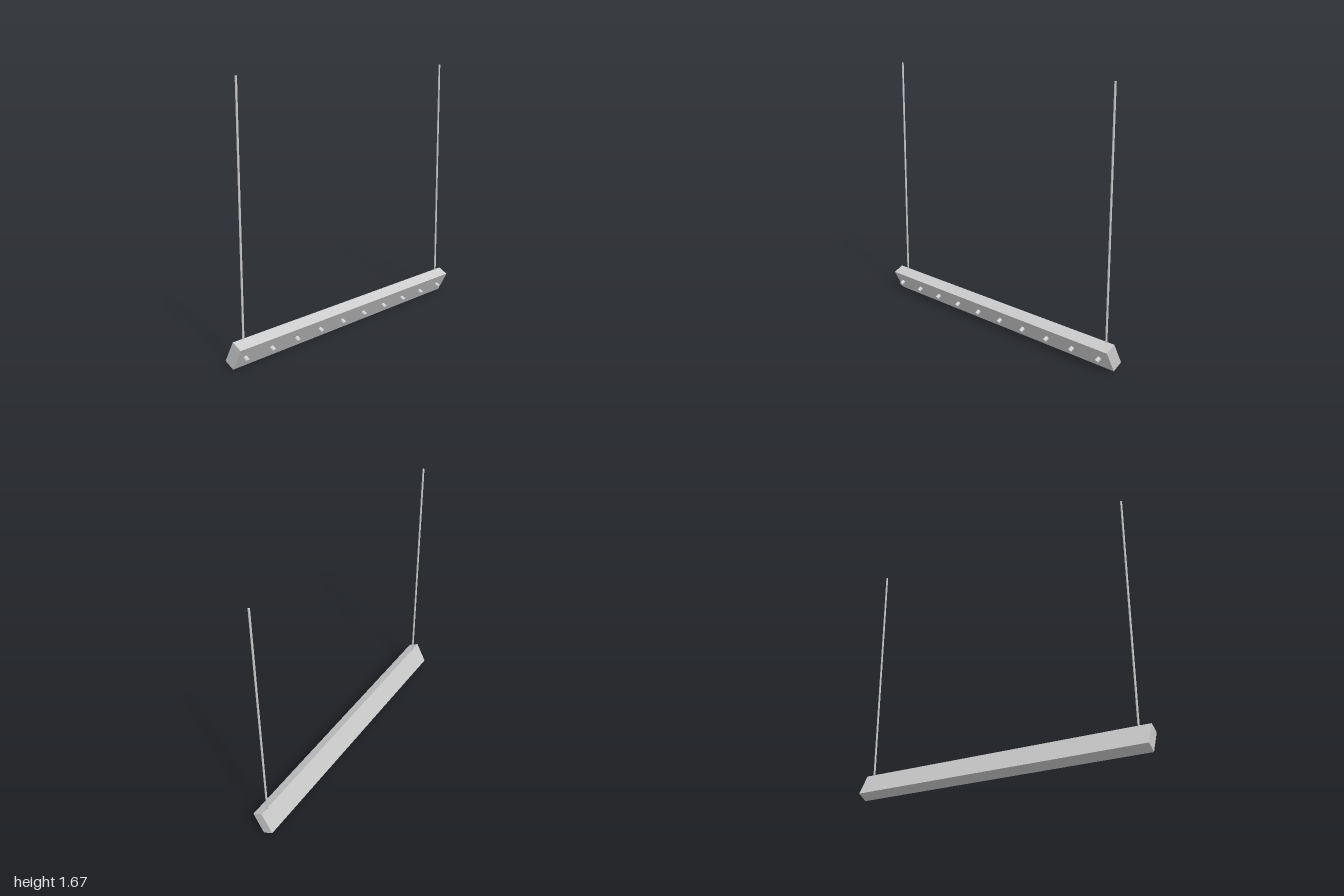
import * as THREE from 'three';

const material = new THREE.MeshStandardMaterial({ color: 0xcccccc });

function add(parent, name, geometry, x, y, z) {
  const mesh = new THREE.Mesh(geometry, material);
  mesh.name = name;
  mesh.position.set(x, y, z);
  parent.add(mesh);
  return mesh;
}

export function createModel() {
  const model = new THREE.Group();
  model.name = 'hangingBar';

  // Tilted bar, its nozzle face turned down towards +x
  const width = 0.075, height = 0.15;
  const bar = new THREE.Group();
  bar.name = 'tiltedBar';
  bar.position.set(-0.002, 0.084, 0);
  bar.rotation.z = THREE.MathUtils.degToRad(-28);
  add(bar, 'barBody', new THREE.BoxGeometry(width, height, 2), 0, 0, 0);

  // Row of short round nozzles standing out of the lower face
  const count = 10, first = 0.938, last = -0.917, length = 0.031;
  const nozzle = new THREE.CylinderGeometry(0.0135, 0.0135, length, 20).rotateZ(-Math.PI / 2);
  for (let i = 0; i < count; i++) {
    const z = THREE.MathUtils.lerp(first, last, i / (count - 1));
    add(bar, 'nozzle', nozzle, width / 2 + length / 2, 0, z);
  }
  model.add(bar);

  // Two hanging rods rising from the top edge
  const bottom = 0.163, top = 1.67;
  const rod = new THREE.CylinderGeometry(0.0065, 0.0065, top - bottom, 16);
  for (const z of [0.922, -0.942]) add(model, 'hangingRod', rod, 0.001, (top + bottom) / 2, z);

  return model;
}
